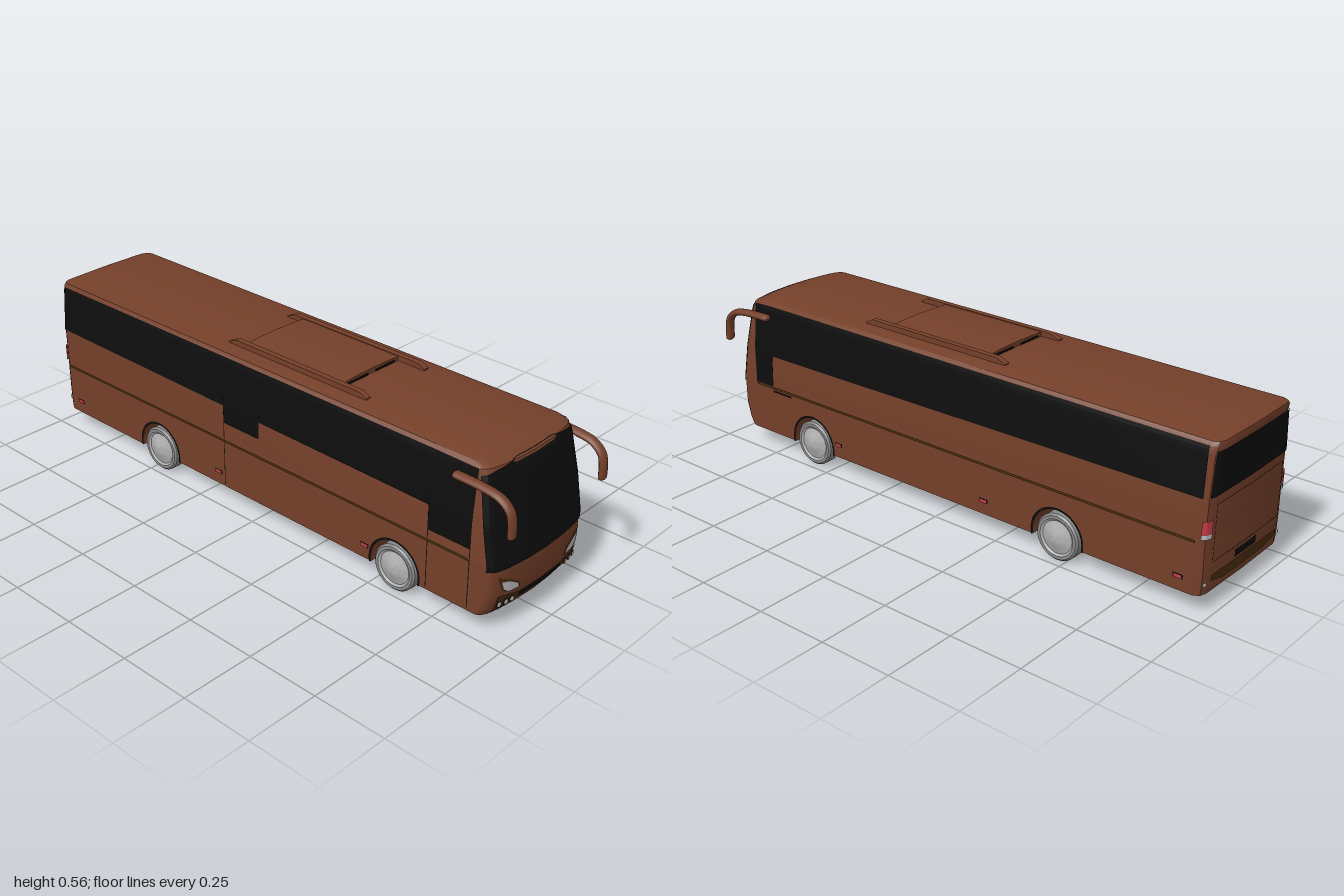
import * as THREE from 'three';
import { toCreasedNormals } from 'three/addons/utils/BufferGeometryUtils.js';

const mat = (name, color) => new THREE.MeshStandardMaterial({ name, color, side: THREE.DoubleSide });

// Body levels: height, half width, front z, rear z
const LEVELS = [
  [0.06, 0.223, 0.928, -0.978], [0.085, 0.223, 0.942, -0.981], [0.14, 0.223, 0.956, -0.983],
  [0.235, 0.223, 0.957, -0.984], [0.36, 0.222, 0.935, -0.987], [0.5, 0.209, 0.908, -0.99],
  [0.525, 0.205, 0.9, -0.996], [0.537, 0.196, 0.875, -0.995], [0.543, 0.15, 0.85, -0.985], [0.546, 0, 0.82, -0.97],
];
// Set-back of the front and rear faces against the fraction of the half width
const NOSE = [[0, 0], [0.4, 0.004], [0.7, 0.012], [0.88, 0.021], [0.97, 0.032], [1, 0.045]];
const TAIL = [[0, 0], [0.85, 0.003], [0.95, 0.01], [1, 0.028]];

function lerpTable(table, u, col) {
  let i = 1;
  while (i < table.length - 1 && u > table[i][0]) i++;
  const a = table[i - 1], b = table[i];
  return THREE.MathUtils.lerp(a[col], b[col], THREE.MathUtils.clamp((u - a[0]) / (b[0] - a[0]), 0, 1));
}
const halfWidth = (y) => lerpTable(LEVELS, y, 1);

// Points on the body skin, lifted by e
const onFront = (f, y, e = 0) => [f * (halfWidth(y) + e), y, lerpTable(LEVELS, y, 2) - lerpTable(NOSE, Math.abs(f), 1) + e];
const onRear = (f, y, e = 0) => [f * (halfWidth(y) + e), y, lerpTable(LEVELS, y, 3) + lerpTable(TAIL, Math.abs(f), 1) - e];
const onSide = (s) => (z, y, e = 0) => [s * (halfWidth(y) + e), y, z];

const both = (table) => [...table.slice(1).map((p) => -p[0]).reverse(), ...table.map((p) => p[0])];
const frontRow = (y) => both(NOSE).map((f) => onFront(f, y));
const rearRow = (y) => both(TAIL).reverse().map((f) => onRear(f, y));

function geometryFrom(points, index) {
  const g = new THREE.BufferGeometry();
  g.setAttribute('position', new THREE.Float32BufferAttribute(points.flat(), 3));
  g.setIndex(index);
  return g;
}

// Skin through rows of points; optional fan closes the lowest row
function loft(rows, closed, floor) {
  const n = rows[0].length, index = [];
  for (let r = 0; r < rows.length - 1; r++) {
    for (let i = 0; i < (closed ? n : n - 1); i++) {
      const a = r * n + i, b = r * n + (i + 1) % n;
      index.push(a, b, b + n, a, b + n, a + n);
    }
  }
  if (floor) for (let i = 1; i < n - 1; i++) index.push(0, i + 1, i);
  return toCreasedNormals(geometryFrom(rows.flat(), index), 0.6);
}

// Thin plate following the skin; edge = [u, bottom, top] in order of u
function patch(place, edge, e = 0.003, cols = 24, rows = 8) {
  const u0 = edge[0][0], u1 = edge[edge.length - 1][0], grid = [];
  const us = Array.from({ length: cols + 1 }, (_, i) => u0 + (u1 - u0) * i / cols);
  us.push(...edge.slice(1, -1).map((p) => p[0]));
  us.sort((a, b) => a - b);
  for (let r = 0; r <= rows; r++) {
    grid.push(us.map((u) => {
      const lo = lerpTable(edge, u, 1), hi = lerpTable(edge, u, 2);
      return place(u, lo + (hi - lo) * r / rows, e);
    }));
  }
  const g = loft(grid, false);
  g.computeVertexNormals();
  return g;
}
const rect = (u0, u1, y0, y1) => [[u0, y0, y1], [u1, y0, y1]];
const mirrorEdge = (edge) => edge.map(([u, a, b]) => [-u, a, b]).reverse();

// Extrude a (z, y) side profile between two x positions
function acrossX(shape, x0, x1) {
  const g = new THREE.ExtrudeGeometry(shape, { depth: x1 - x0, bevelEnabled: false, curveSegments: 24 });
  return g.rotateY(-Math.PI / 2).translate(x1, 0, 0);
}

export function createModel() {
  const bus = new THREE.Group();
  bus.name = 'coach';
  const paint = mat('brown paint', 0x75402a), black = mat('black glass', 0x0d0d0d);
  const trim = mat('dark bronze trim', 0x4a2c0e), tyre = mat('grey tyre', 0x8a8a8a);
  const metal = mat('pale wheel metal', 0xb0b0b0), red = mat('red lamp', 0xc23a45), lamp = mat('lamp glass', 0xbcbcbc);
  const add = (name, geo, m, parent = bus) => {
    const mesh = new THREE.Mesh(geo, m);
    mesh.name = name;
    parent.add(mesh);
    return mesh;
  };

  // Upper shell, nose and tail
  const low = LEVELS.slice(0, 4).map((l) => l[0]), high = LEVELS.slice(3).map((l) => l[0]);
  add('upperBody', loft(high.map((y) => [...frontRow(y), ...rearRow(y)]), true), paint);
  add('nose', loft(low.map(frontRow), false, true), paint);
  add('tail', loft(low.map(rearRow), false, true), paint);

  // Lower body with wheel tunnels
  const AXLES = [-0.47, 0.58], R = 0.078, ARCH = 0.094, dip = Math.asin((R - 0.06) / ARCH);
  const skirt = new THREE.Shape();
  skirt.moveTo(onRear(1, 0.06)[2], 0.06);
  for (const z of AXLES) {
    skirt.lineTo(z - ARCH * Math.cos(dip), 0.06);
    skirt.absarc(z, R, ARCH, Math.PI + dip, -dip, true);
  }
  for (const y of low) skirt.lineTo(onFront(1, y)[2], y);
  for (const y of [...low].reverse().slice(0, -1)) skirt.lineTo(onRear(1, y)[2], y);
  add('lowerBody', acrossX(skirt, -0.223, 0.223), paint);

  // Windscreen and rear window
  add('windscreen', patch(onFront, [[-1, 0.22, 0.508], [-0.85, 0.22, 0.517], [-0.4, 0.22, 0.53],
    [0.4, 0.22, 0.53], [0.85, 0.22, 0.517], [1, 0.22, 0.508]], 0.003, 40, 16), black);
  add('rearWindow', patch(onRear, rect(-0.94, 0.94, 0.372, 0.512)), black);

  // Side glass: the two sides step down differently
  const band = (z) => 0.352 - (z - 0.77) * 0.011;
  add('leftGlass', patch(onSide(1), [[-0.965, band(-0.965), 0.527], [0.769, band(0.77), 0.527],
    [0.77, 0.235, 0.527], [0.855, 0.235, 0.525]], 0.003, 12, 14), black);
  add('rightGlass', patch(onSide(-1), [[-0.965, band(-0.965), 0.527], [-0.151, band(-0.15), 0.527], [-0.15, 0.3, 0.527],
    [0.01, 0.3, 0.527], [0.011, band(0), 0.527], [0.699, band(0.7), 0.527], [0.7, 0.27, 0.527], [0.855, 0.27, 0.525]], 0.003, 12, 14), black);
  for (const z of [-0.15, 0.7, 0.853]) add('doorSeam', patch(onSide(-1), rect(z - 0.0015, z + 0.0015, 0.07, 0.3), 0.002, 1), black);
  add('sideHandle', patch(onSide(1), rect(0.68, 0.77, 0.219, 0.226), 0.004, 1, 1), black);

  // Front bumper, grille and lamps
  const W = 0.223;
  const frontXY = (x, y, e) => onFront(x / W, y, e);
  add('frontBumperTrim', patch(frontXY, [[-0.19, 0.064, 0.132], [-0.105, 0.088, 0.113],
    [0.105, 0.088, 0.113], [0.19, 0.064, 0.132]], 0.003), trim);
  add('grille', patch(frontXY, rect(-0.1, 0.1, 0.091, 0.111), 0.005), black);
  for (const y of [0.097, 0.104]) add('grilleBar', patch(frontXY, rect(-0.095, 0.095, y, y + 0.0015), 0.007), trim);
  const headlight = [[0.112, 0.136, 0.14], [0.117, 0.136, 0.153], [0.145, 0.136, 0.17], [0.157, 0.14, 0.176], [0.174, 0.152, 0.18], [0.182, 0.176, 0.183]];
  const surround = [[0.107, 0.133, 0.138], [0.115, 0.133, 0.157], [0.157, 0.136, 0.181], [0.178, 0.15, 0.188], [0.194, 0.19, 0.2]];
  for (const s of [-1, 1]) {
    const side = (edge) => (s > 0 ? edge : mirrorEdge(edge));
    add('headlightSurround', patch(frontXY, side(surround), 0.002), trim);
    add('headlight', patch(frontXY, side(headlight), 0.005), lamp);
    for (const x of [0.13, 0.154, 0.179]) {
      const [px, py, pz] = frontXY(s * x, 0.1, 0.005);
      const ring = add('fogLampRing', new THREE.CircleGeometry(0.0105, 20), black);
      const disc = add('fogLamp', new THREE.CircleGeometry(0.0075, 20), lamp);
      ring.position.set(px, py, pz + 0.002);
      disc.position.set(px, py, pz + 0.004);
      ring.rotation.y = disc.rotation.y = s * 0.18;
    }

    // Rear lamps
    const tail = (a, b, y0, y1) => patch(onRear, side(rect(a, b, y0, y1)), 0.004, 8, 1);
    add('tailLamp', tail(0.86, 0.985, 0.258, 0.302), red);
    add('reversingLamp', tail(0.86, 0.985, 0.243, 0.258), lamp);
    add('rearCornerLamp', tail(0.88, 0.94, 0.09, 0.103), lamp);
    add('bootSeam', tail(0.8, 0.808, 0.16, 0.345), black);

    // Side moulding and marker lamps
    add('sideMoulding', patch(onSide(s), rect(-0.95, 0.85, 0.23, 0.239), 0.004, 1, 1), trim);
    for (const z of [0.46, -0.18, -0.9]) {
      add('markerSurround', patch(onSide(s), rect(z - 0.017, z + 0.017, 0.099, 0.115), 0.002, 1, 1), black);
      add('markerLamp', patch(onSide(s), rect(z - 0.013, z + 0.013, 0.102, 0.112), 0.004, 1, 1), red);
    }
  }

  // Rear bumper, boot lid lines and blank plate
  add('rearBumperTrim', patch(onRear, [[-0.8, 0.1, 0.118], [-0.5, 0.085, 0.118], [0.5, 0.085, 0.118], [0.8, 0.1, 0.118]]), trim);
  add('rearPlate', patch(onRear, rect(-0.26, 0.26, 0.126, 0.15)), black);
  for (const y of [0.16, 0.343]) add('bootSeam', patch(onRear, rect(-0.8, 0.8, y, y + 0.002), 0.003), black);

  // Wheels, arch lips, inner drums and axles
  const v = (pts) => pts.map(([x, y]) => new THREE.Vector2(x, y));
  const tyreGeo = toCreasedNormals(new THREE.LatheGeometry(v([[0.05, -0.015], [0.055, -0.025], [0.07, -0.025], [R, -0.018],
    [R, 0.018], [0.072, 0.024], [0.062, 0.024]]), 36).rotateZ(-Math.PI / 2), 0.5);
  const hubGeo = toCreasedNormals(new THREE.LatheGeometry(v([[0, -0.012], [0.052, -0.016], [0.062, 0.024], [0.055, 0.019],
    [0.045, 0.022], [0.032, 0.027], [0.012, 0.035], [0, 0.035]]), 36).rotateZ(-Math.PI / 2), 0.4);
  for (const z of AXLES) {
    add('axle', new THREE.CylinderGeometry(0.014, 0.014, 0.36, 12).rotateZ(Math.PI / 2), black).position.set(0, R, z);
    for (const s of [-1, 1]) {
      const wheel = new THREE.Group();
      wheel.name = 'wheel';
      add('tyre', tyreGeo, tyre, wheel);
      add('hub', hubGeo, metal, wheel);
      wheel.position.set(s * 0.203, R, z);
      if (s < 0) wheel.rotation.y = Math.PI;
      bus.add(wheel);
      add('innerDrum', new THREE.CylinderGeometry(0.066, 0.066, 0.065, 28).rotateZ(Math.PI / 2), black).position.set(s * 0.142, R, z);
      const lip = add('archLip', new THREE.RingGeometry(ARCH - 0.001, ARCH + 0.006, 32, 1, -dip, Math.PI + 2 * dip), black);
      lip.rotation.y = s * Math.PI / 2;
      lip.position.set(s * 0.226, R, z);
    }
  }

  // Mirrors on curved arms
  const arm = new THREE.CatmullRomCurve3([[0.487, 0.79], [0.483, 0.89], [0.472, 0.945], [0.445, 0.977], [0.41, 0.986], [0.372, 0.987]]
    .map(([y, z]) => new THREE.Vector3(0, y, z)));
  for (const s of [-1, 1]) {
    const mirror = new THREE.Group();
    mirror.name = 'mirror';
    add('mirrorArm', new THREE.TubeGeometry(arm, 32, 0.0115, 14), paint, mirror);
    for (const t of [0, 1]) add('mirrorEnd', new THREE.SphereGeometry(0.0115, 14, 10), paint, mirror).position.copy(arm.getPoint(t));
    mirror.scale.x = 1.5;
    mirror.position.x = s * 0.221;
    bus.add(mirror);
  }

  // Roof unit: arched panel, side rails and vent slots
  const panel = new THREE.Shape(v([[-0.126, 0.53], [0.126, 0.53], [0.126, 0.558], [0.06, 0.561], [0, 0.562], [-0.06, 0.561], [-0.126, 0.558]]));
  add('roofUnit', new THREE.ExtrudeGeometry(panel, { depth: 0.41, bevelEnabled: false }).translate(0, 0, -0.13), paint);
  const rail = new THREE.Shape(v([[-0.2, 0.53], [0.385, 0.53], [0.385, 0.548], [0.36, 0.561], [-0.165, 0.561], [-0.2, 0.547]]));
  for (const s of [-1, 1]) {
    add('roofRail', acrossX(rail, s * 0.135 - 0.01, s * 0.135 + 0.01), paint);
    for (const z of [-0.131, 0.281]) {
      add('roofVent', new THREE.BoxGeometry(0.088, 0.006, 0.004), black).position.set(s * 0.062, 0.549, z);
    }
  }
  return bus;
}
